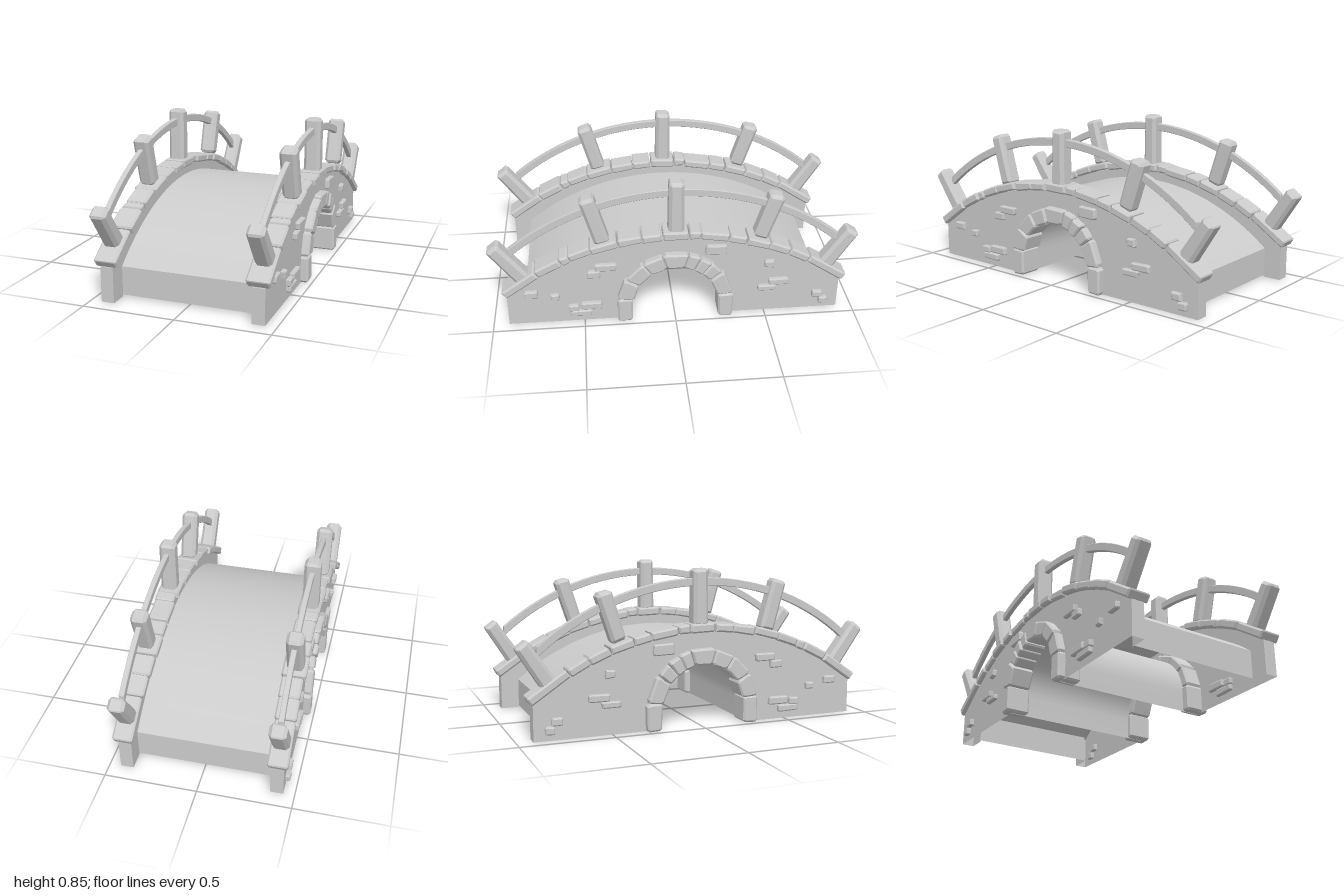
import * as THREE from 'three';

const stoneMat = new THREE.MeshStandardMaterial({ color: 0xcccccc, flatShading: true });
const wallMat = new THREE.MeshStandardMaterial({ color: 0xcccccc, flatShading: true, side: THREE.DoubleSide });
const smoothMat = new THREE.MeshStandardMaterial({ color: 0xcccccc, side: THREE.DoubleSide });

const HALF = 0.915;                      // half length of the side walls
const WALL_IN = 0.37, WALL_OUT = 0.44;   // wall faces, distance from the middle
const CAP = { y: -0.958, r: 1.468 };     // arc of the wall tops
const DECK = { y: -0.822, r: 1.28, half: 0.815 };
const RAIL = { y: -0.595, r: 1.37, half: 0.885 };
const ARCH = { y: 0.11, r: 0.27 };
const DEG = Math.PI / 180;

let seed = 1;
function jitter(amount) {
  seed = (seed * 16807) % 2147483647;
  return (seed / 2147483647 - 0.5) * 2 * amount;
}

// Points [z, y] on an arc between two z values
function arc(c, z0, z1, n) {
  const pts = [];
  for (let i = 0; i <= n; i++) {
    const z = z0 + (z1 - z0) * i / n;
    pts.push([z, c.y + Math.sqrt(c.r * c.r - z * z)]);
  }
  return pts;
}

// Outline of the tunnel, from +z over the crown to -z
function tunnel() {
  const pts = [[ARCH.r, 0]];
  for (let i = 0; i <= 20; i++) {
    const a = Math.PI * i / 20;
    pts.push([Math.cos(a) * ARCH.r, ARCH.y + Math.sin(a) * ARCH.r]);
  }
  pts.push([-ARCH.r, 0]);
  return pts;
}

function shapeOf(pts) {
  return new THREE.Shape(pts.map(p => new THREE.Vector2(p[0], p[1])));
}

// Sheet that sweeps a [z, y] profile from x0 to x1; a profile running to +z faces up
function sheet(pts, x0, x1) {
  const pos = [], idx = [];
  pts.forEach(([z, y], i) => {
    pos.push(x0, y, z, x1, y, z);
    if (i) {
      const a = 2 * i - 2;
      idx.push(a, a + 2, a + 3, a, a + 3, a + 1);
    }
  });
  const g = new THREE.BufferGeometry();
  g.setAttribute('position', new THREE.Float32BufferAttribute(pos, 3));
  g.setIndex(idx);
  g.computeVertexNormals();
  return g;
}

function add(parent, name, geometry, material = stoneMat) {
  const mesh = new THREE.Mesh(geometry, material);
  mesh.name = name;
  parent.add(mesh);
}

// Chamfered, slightly irregular block; wTop and wBottom run along z, depth along x
function block(wTop, wBottom, h, depth, bevel, rough, tilt, x, y, z) {
  const c = Math.min(wBottom, h) * 0.14;
  const t = wTop / 2, b = wBottom / 2, k = h / 2;
  const corners = [
    [-b + c, -k], [b - c, -k], [b, -k + c], [t, k - c],
    [t - c, k], [-t + c, k], [-t, k - c], [-b, -k + c],
  ].map(p => [p[0] + jitter(rough), p[1] + jitter(rough)]);
  const g = new THREE.ExtrudeGeometry(shapeOf(corners), {
    depth: depth - 2 * bevel, bevelThickness: bevel, bevelSize: bevel,
    bevelOffset: -bevel, bevelSegments: 1,
  });
  g.translate(0, 0, bevel - depth / 2);
  g.rotateZ(-tilt);
  g.rotateY(-Math.PI / 2);
  g.translate(x, y, z);
  return g;
}

// One wall with its stones, posts and rail; s is +1 or -1
function buildSide(s) {
  const side = new THREE.Group();
  side.name = s > 0 ? 'leftSide' : 'rightSide';
  seed = 4711;
  const lo = Math.min(s * WALL_IN, s * WALL_OUT), hi = Math.max(s * WALL_IN, s * WALL_OUT);

  // Wall, open below: outer face, inner face above the deck, ends and top
  const top = arc(CAP, -HALF, HALF, 32);
  const outer = new THREE.ShapeGeometry(shapeOf([[-HALF, 0], ...tunnel().reverse(), [HALF, 0], ...top.slice().reverse()]));
  outer.rotateY(s * Math.PI / 2).translate(s * WALL_OUT, 0, 0);
  add(side, 'wallOuterFace', outer, wallMat);
  const inner = new THREE.ShapeGeometry(shapeOf([
    [-HALF, 0], [-DECK.half, 0], ...arc(DECK, -DECK.half, DECK.half, 32), [DECK.half, 0],
    [HALF, 0], ...top.slice().reverse(),
  ]));
  inner.rotateY(-s * Math.PI / 2).translate(s * WALL_IN, 0, 0);
  add(side, 'wallInnerFace', inner, wallMat);
  add(side, 'wallEdge', sheet([[-HALF, 0], ...top, [HALF, 0]], lo, hi), wallMat);

  // Cap stones along the wall top
  const caps = [0.915, 0.735, 0.605, 0.56, 0.445, 0.305, 0.175, 0.07, -0.07, -0.135,
    -0.285, -0.38, -0.505, -0.615, -0.72, -0.92];
  for (let i = 0; i < caps.length - 1; i++) {
    const a0 = Math.asin(caps[i] / CAP.r), a1 = Math.asin(caps[i + 1] / CAP.r);
    const a = (a0 + a1) / 2, r = CAP.r + 0.02 + jitter(0.004);
    const w = (a0 - a1) * r - 0.003;
    const depth = 0.12 + jitter(0.012);
    add(side, 'capStone', block(w, w, 0.047, depth, 0.009, 0.003, a,
      s * (0.405 + jitter(0.004)), CAP.y + r * Math.cos(a), r * Math.sin(a)));
  }

  // Arch stones: two legs and a ring
  for (const e of [1, -1]) {
    add(side, 'archFootStone', block(0.082, 0.082, 0.147, 0.135, 0.01, 0.002, 0, s * 0.413, 0.075, e * 0.278));
  }
  const ring = [83, 58, 34, 13, -13, -26, -39, -54, -82];
  for (let i = 0; i < ring.length - 1; i++) {
    const a = (ring[i] + ring[i + 1]) / 2 * DEG, span = (ring[i] - ring[i + 1]) * DEG;
    add(side, 'archStone', block(span * 0.31 - 0.004, span * 0.235 - 0.002, 0.086, 0.132 + jitter(0.008), 0.009, 0.003, a,
      s * 0.415, ARCH.y + 0.27 * Math.cos(a), 0.27 * Math.sin(a)));
  }

  // Loose stones showing on the wall: z, y, width, height
  const loose = [
    [0.785, 0.2, 0.075, 0.042], [0.655, 0.175, 0.045, 0.038], [0.375, 0.355, 0.115, 0.042],
    [0.44, 0.312, 0.07, 0.038], [0.555, 0.095, 0.055, 0.038], [0.46, 0.105, 0.115, 0.04],
    [0.52, 0.06, 0.115, 0.038], [-0.22, 0.43, 0.115, 0.06], [-0.515, 0.32, 0.052, 0.04],
    [-0.572, 0.2, 0.11, 0.04], [-0.51, 0.163, 0.1, 0.033], [-0.795, 0.097, 0.058, 0.038],
    [-0.832, 0.055, 0.052, 0.038],
  ];
  for (const [z, y, w, h] of loose) {
    add(side, 'wallStone', block(w, w, h, 0.044, 0.006, 0.003, 0, s * 0.442, y, z));
  }

  // Posts leaning outwards: tilt, bottom and top [z, y]
  const posts = [
    [36, 0.81, 0.28, 0.968, 0.5], [15, 0.39, 0.5, 0.46, 0.77], [0, -0.004, 0.54, -0.004, 0.845],
    [-18, -0.46, 0.485, -0.54, 0.74], [-33, -0.835, 0.28, -0.962, 0.5],
  ];
  for (const [tilt, z0, y0, z1, y1] of posts) {
    const h = Math.hypot(z1 - z0, y1 - y0);
    add(side, 'post', block(0.08, 0.084, h, 0.09, 0.017, 0.003, tilt * DEG, s * 0.409, (y0 + y1) / 2, (z0 + z1) / 2));
  }

  // Curved handrail through the posts
  const band = [
    ...arc({ y: RAIL.y, r: RAIL.r - 0.021 }, -RAIL.half, RAIL.half, 32),
    ...arc({ y: RAIL.y, r: RAIL.r + 0.021 }, RAIL.half, -RAIL.half, 32),
  ];
  const rail = new THREE.ExtrudeGeometry(shapeOf(band), {
    depth: 0.022, bevelThickness: 0.003, bevelSize: 0.003, bevelOffset: -0.003, bevelSegments: 1,
  });
  rail.translate(0, 0, -0.011).rotateY(-Math.PI / 2).translate(s * 0.409, 0, 0);
  add(side, 'handrail', rail);
  return side;
}

export function createModel() {
  const bridge = new THREE.Group();
  bridge.name = 'bridge';

  // Curved walkway and its upright ends
  const path = arc(DECK, -DECK.half, DECK.half, 40);
  add(bridge, 'walkway', sheet(path, -WALL_IN, WALL_IN), smoothMat);
  const endY = path[0][1];
  add(bridge, 'backEnd', sheet([[-DECK.half, 0.01], [-DECK.half, endY]], -WALL_IN, WALL_IN), smoothMat);
  add(bridge, 'frontEnd', sheet([[DECK.half, endY], [DECK.half, 0.01]], -WALL_IN, WALL_IN), smoothMat);

  // Tunnel under the walkway
  add(bridge, 'tunnel', sheet(tunnel(), -WALL_OUT, WALL_OUT), smoothMat);

  for (const s of [1, -1]) bridge.add(buildSide(s));
  return bridge;
}
